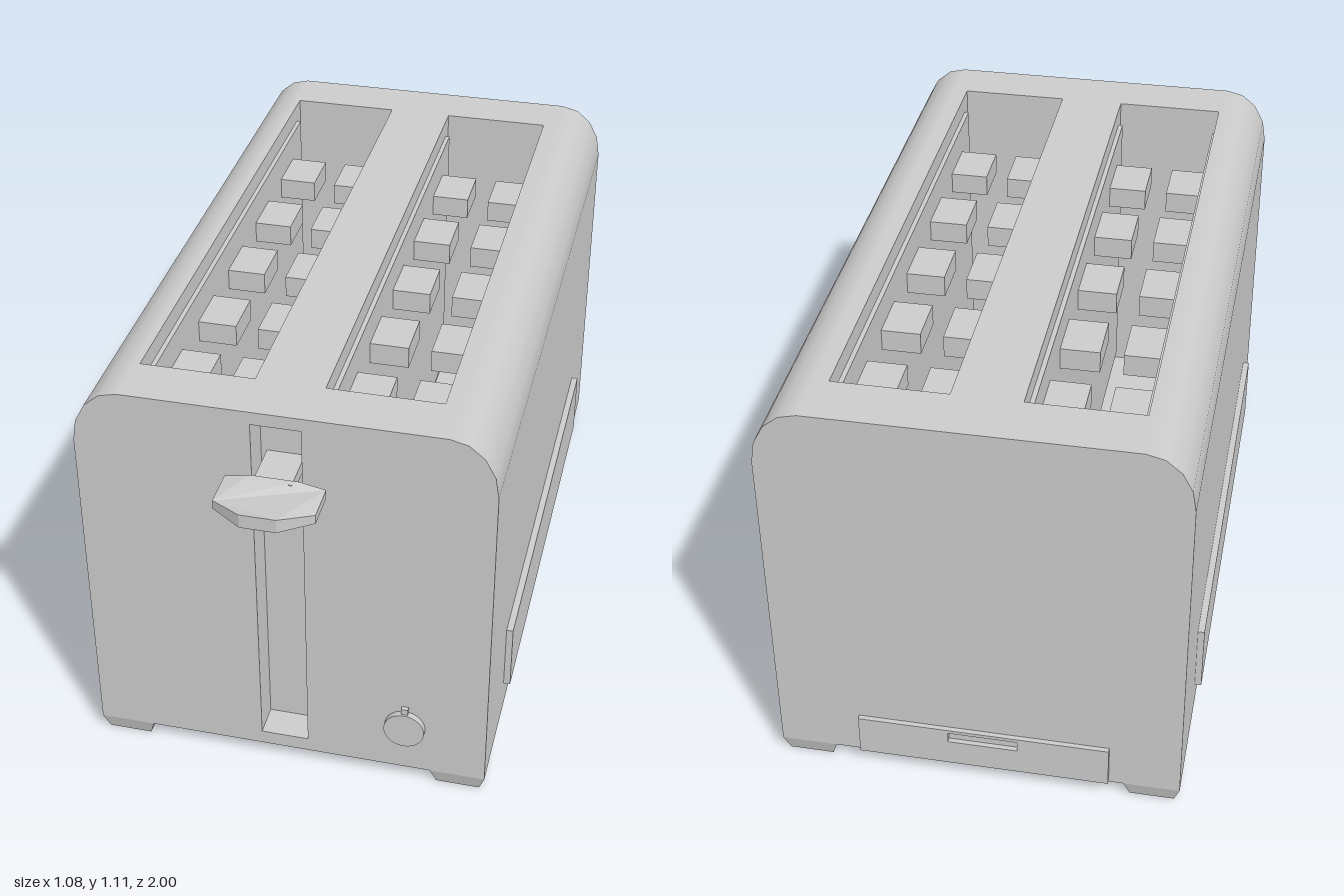
import * as THREE from 'three';

const mat = new THREE.MeshStandardMaterial({ color: 0xcccccc });
const HALF = 0.5225, BASE = 0.045, TOP = 1.11, FRONT = 0.82, BACK = -0.985;
const RX = 0.12, RY = 0.15; // shoulder radii
const LEN = FRONT - BACK, MID = (FRONT + BACK) / 2;

function add(parent, name, geo, x = 0, y = 0, z = 0) {
  const m = new THREE.Mesh(geo, mat);
  m.name = name;
  m.position.set(x, y, z);
  parent.add(m);
  return m;
}

// Box given by its limits
function box(parent, name, x0, x1, y0, y1, z0, z1) {
  return add(parent, name, new THREE.BoxGeometry(x1 - x0, y1 - y0, z1 - z0),
    (x0 + x1) / 2, (y0 + y1) / 2, (z0 + z1) / 2);
}

// Inward-facing box with one face left out (2 = top, 4 = front)
function cavity(parent, name, openFace, x0, x1, y0, y1, z0, z1) {
  const m = box(parent, name, x0, x1, y0, y1, z0, z1);
  const idx = Array.from(m.geometry.index.array);
  idx.splice(openFace * 6, 6);
  m.geometry.setIndex(idx.reverse());
  m.geometry = m.geometry.toNonIndexed();
  m.geometry.computeVertexNormals();
}

function rect(Type, x0, x1, y0, y1) {
  return new Type([[x0, y0], [x1, y0], [x1, y1], [x0, y1]].map(p => new THREE.Vector2(...p)));
}

// Arched outline of the end faces
function endShape() {
  const pts = [new THREE.Vector2(-HALF, BASE), new THREE.Vector2(HALF, BASE)];
  for (const start of [0, Math.PI / 2]) {
    const side = start ? -1 : 1;
    for (let i = 0; i <= 4; i++) {
      const a = start + i * Math.PI / 8;
      pts.push(new THREE.Vector2(side * (HALF - RX) + RX * Math.cos(a), TOP - RY + RY * Math.sin(a)));
    }
  }
  return new THREE.Shape(pts);
}

export function createModel() {
  const model = new THREE.Group();
  model.name = 'toaster';
  const slots = [[-0.39, -0.10], [0.075, 0.365]];
  const zBack = -0.84, zFront = 0.68;

  // Body shell
  const body = new THREE.Group();
  body.name = 'body';
  model.add(body);
  const frontShape = endShape();
  frontShape.holes.push(rect(THREE.Path, -0.075, 0.05, 0.085, 1.075));
  add(body, 'frontFace', new THREE.ShapeGeometry(frontShape), 0, 0, FRONT);
  add(body, 'backFace', new THREE.ShapeGeometry(endShape()).rotateY(Math.PI), 0, 0, BACK);
  const topShape = rect(THREE.Shape, -(HALF - RX), HALF - RX, -FRONT, -BACK);
  for (const [x0, x1] of slots) topShape.holes.push(rect(THREE.Path, x0, x1, -zFront, -zBack));
  add(body, 'topFace', new THREE.ShapeGeometry(topShape).rotateX(-Math.PI / 2), 0, TOP, 0);
  add(body, 'underside', new THREE.PlaneGeometry(2 * HALF, LEN).rotateX(Math.PI / 2), 0, BASE, MID);
  for (const s of [-1, 1]) {
    const wallH = TOP - RY - BASE;
    add(body, 'sideWall', new THREE.PlaneGeometry(LEN, wallH).rotateY(s * Math.PI / 2),
      s * HALF, BASE + wallH / 2, MID);
    const start = s > 0 ? Math.PI / 2 : Math.PI;
    const shoulder = new THREE.CylinderGeometry(1, 1, LEN, 4, 1, true, start, Math.PI / 2)
      .rotateX(Math.PI / 2).scale(RX, RY, 1);
    add(body, 'shoulder', shoulder, s * (HALF - RX), TOP - RY, MID);
    // Raised side panel
    box(model, 'sidePanel', s > 0 ? 0.51 : -0.54, s > 0 ? 0.54 : -0.51, 0.135, 0.323, -0.69, 0.545);
  }

  // Bread slots with wall plates and guide tabs
  const step = (zFront - zBack) / 11;
  for (const [x0, x1] of slots) {
    const slot = new THREE.Group();
    slot.name = 'breadSlot';
    model.add(slot);
    cavity(slot, 'slotWell', 2, x0, x1, 0.2, TOP, zBack, zFront);
    box(slot, 'wallPlate', x0, x0 + 0.012, 0.25, 1.06, zBack + 0.04, zFront - 0.04);
    box(slot, 'wallPlate', x1 - 0.012, x1, 0.25, 1.06, zBack + 0.04, zFront - 0.04);
    for (let i = 0; i < 5; i++) {
      const z = zBack + (2 * i + 1) * step;
      box(slot, 'guideTab', x0, x0 + 0.115, 0.92, 0.98, z, z + step);
      box(slot, 'guideTab', x1 - 0.115, x1, 0.92, 0.98, z, z + step);
    }
  }

  // Lever channel and lever, the handle's top sloping to its ends
  cavity(model, 'leverChannel', 4, -0.075, 0.05, 0.085, 1.075, FRONT - 0.085, FRONT);
  const lever = new THREE.Group();
  lever.name = 'lever';
  model.add(lever);
  box(lever, 'leverStem', -0.06, 0.035, 0.912, 0.945, FRONT - 0.085, 0.86);
  const outline = [[-0.125, -0.845], [-0.125, -0.945], [-0.045, -1], [0.045, -1],
    [0.125, -0.945], [0.125, -0.845], [0.06, -0.845], [-0.06, -0.845]];
  let handle = new THREE.ExtrudeGeometry(new THREE.Shape(outline.map(p => new THREE.Vector2(...p))),
    { depth: 0.037, bevelEnabled: false }).rotateX(-Math.PI / 2);
  const hp = handle.attributes.position;
  for (let i = 0; i < hp.count; i++) {
    if (Math.abs(hp.getX(i)) > 0.1 && hp.getY(i) > 0.01) hp.setY(i, 0.024);
  }
  handle.computeVertexNormals();
  add(lever, 'leverHandle', handle, -0.01, 0.91, 0);

  // Browning dial with pointer
  const dial = new THREE.Group();
  dial.name = 'dial';
  model.add(dial);
  add(dial, 'dialDisc', new THREE.CylinderGeometry(0.053, 0.053, 0.03, 32).rotateX(Math.PI / 2),
    0.31, 0.187, 0.822);
  box(dial, 'dialPointer', 0.301, 0.319, 0.2, 0.256, 0.81, 0.832);

  // Crumb tray front at the back, with a finger slot
  const tray = rect(THREE.Shape, -0.34, 0.31, 0.05, 0.165);
  tray.holes.push(rect(THREE.Path, -0.105, 0.075, 0.125, 0.155));
  add(model, 'crumbTray', new THREE.ExtrudeGeometry(tray, { depth: 0.013, bevelEnabled: false }),
    0, 0, BACK - 0.013);

  // Tapered feet
  for (const sx of [-1, 1]) for (const z of [FRONT - 0.072, BACK + 0.072]) {
    const foot = new THREE.BoxGeometry(0.144, BASE, 0.144);
    const p = foot.attributes.position;
    for (let i = 0; i < p.count; i++) {
      if (p.getY(i) < 0) p.setXYZ(i, p.getX(i) * 0.8, p.getY(i), p.getZ(i) * 0.82);
    }
    foot.computeVertexNormals();
    add(model, 'foot', foot, sx * (HALF - 0.072), BASE / 2, z);
  }
  return model;
}
